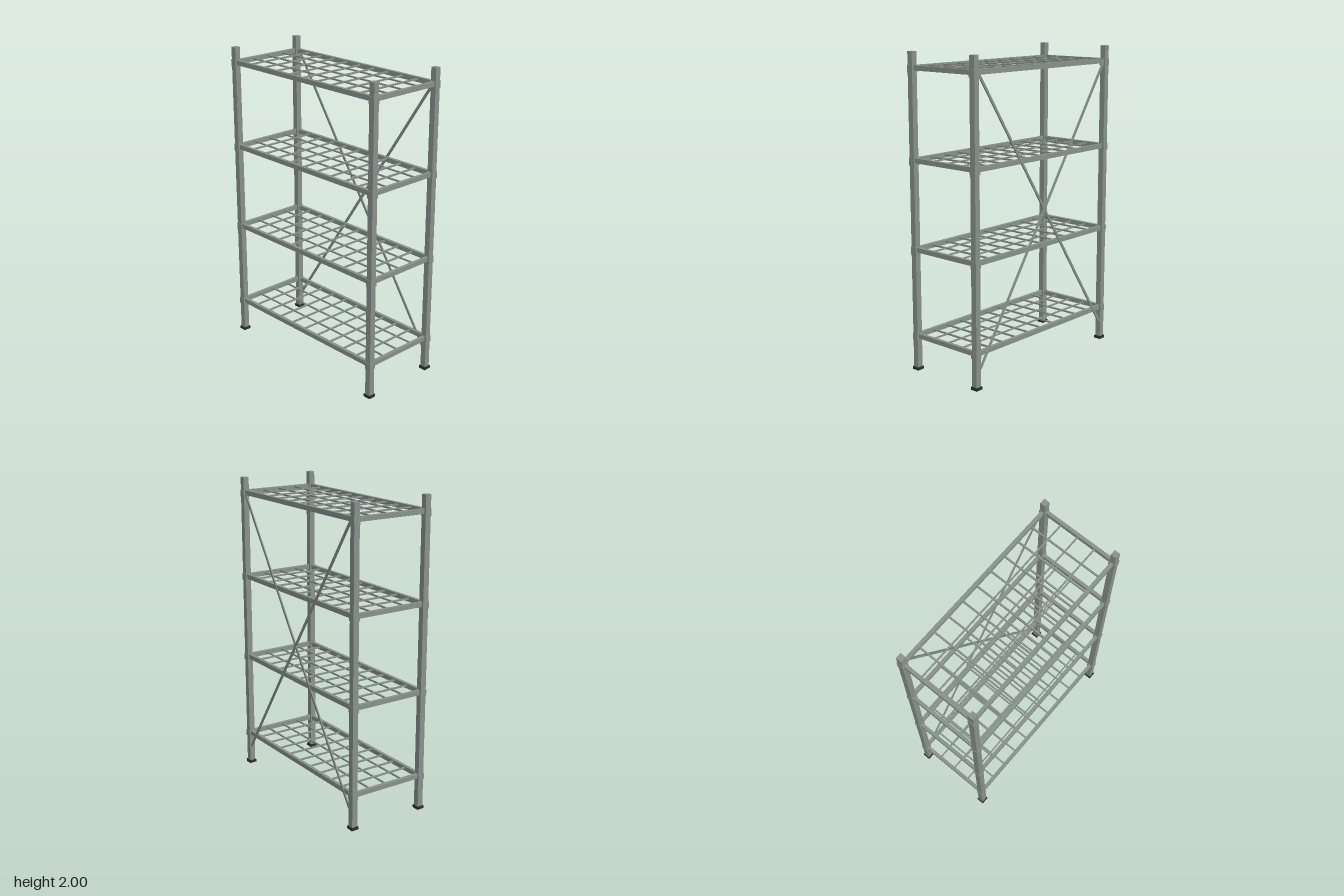
import * as THREE from 'three';

const steel = new THREE.MeshStandardMaterial({ color: 0x89928d });
steel.name = 'grey steel';
const rubber = new THREE.MeshStandardMaterial({ color: 0x2b2f2e });
rubber.name = 'black rubber';

const POST_X = 0.615, POST_Z = 0.255, POST_W = 0.038;
const SHELF_Y = [0.225, 0.784, 1.343, 1.902];

function box(parent, name, size, pos, material = steel) {
  const mesh = new THREE.Mesh(new THREE.BoxGeometry(...size), material);
  mesh.name = name;
  mesh.position.set(...pos);
  parent.add(mesh);
  return mesh;
}

// Corner post with a rubber foot and a collar at every shelf
function makePost(sx, sz) {
  const post = new THREE.Group();
  post.name = 'cornerPost';
  post.position.set(sx * POST_X, 0, sz * POST_Z);
  box(post, 'upright', [POST_W, 1.985, POST_W], [0, 1.0075, 0]);
  box(post, 'foot', [0.05, 0.018, 0.05], [0, 0.009, 0], rubber);
  for (const y of SHELF_Y) box(post, 'collar', [0.044, 0.045, 0.044], [0, y - 0.006, 0]);
  return post;
}

// Shelf frame filled with an open wire grid
function makeShelf(y) {
  const shelf = new THREE.Group();
  shelf.name = 'shelf';
  shelf.position.y = y;
  const railX = 2 * POST_X - POST_W, railZ = 2 * POST_Z - POST_W;
  for (const s of [-1, 1]) {
    box(shelf, 'longRail', [railX, 0.03, 0.022], [0, 0, s * POST_Z]);
    box(shelf, 'sideRail', [0.022, 0.03, railZ], [s * POST_X, 0, 0]);
  }
  for (let i = -4; i <= 4; i++) {
    box(shelf, 'crossWire', [0.01, 0.01, 2 * POST_Z - 0.02], [i * 0.121, 0.005, 0]);
  }
  for (let i = -1; i <= 1; i++) {
    box(shelf, 'longWire', [2 * POST_X - 0.02, 0.009, 0.009], [0, 0.004, i * 0.122]);
  }
  return shelf;
}

export function createModel() {
  const model = new THREE.Group();
  model.name = 'shelvingRack';
  for (const sx of [-1, 1]) for (const sz of [-1, 1]) model.add(makePost(sx, sz));
  for (const y of SHELF_Y) model.add(makeShelf(y));

  // Diagonal braces crossing behind the shelves
  const dx = 1.18, dy = 1.765;
  for (const s of [-1, 1]) {
    const brace = box(model, 'backBrace', [Math.hypot(dx, dy), 0.016, 0.008], [0, 1.0125, -0.265]);
    brace.rotation.z = s * Math.atan2(dy, dx);
  }
  return model;
}
